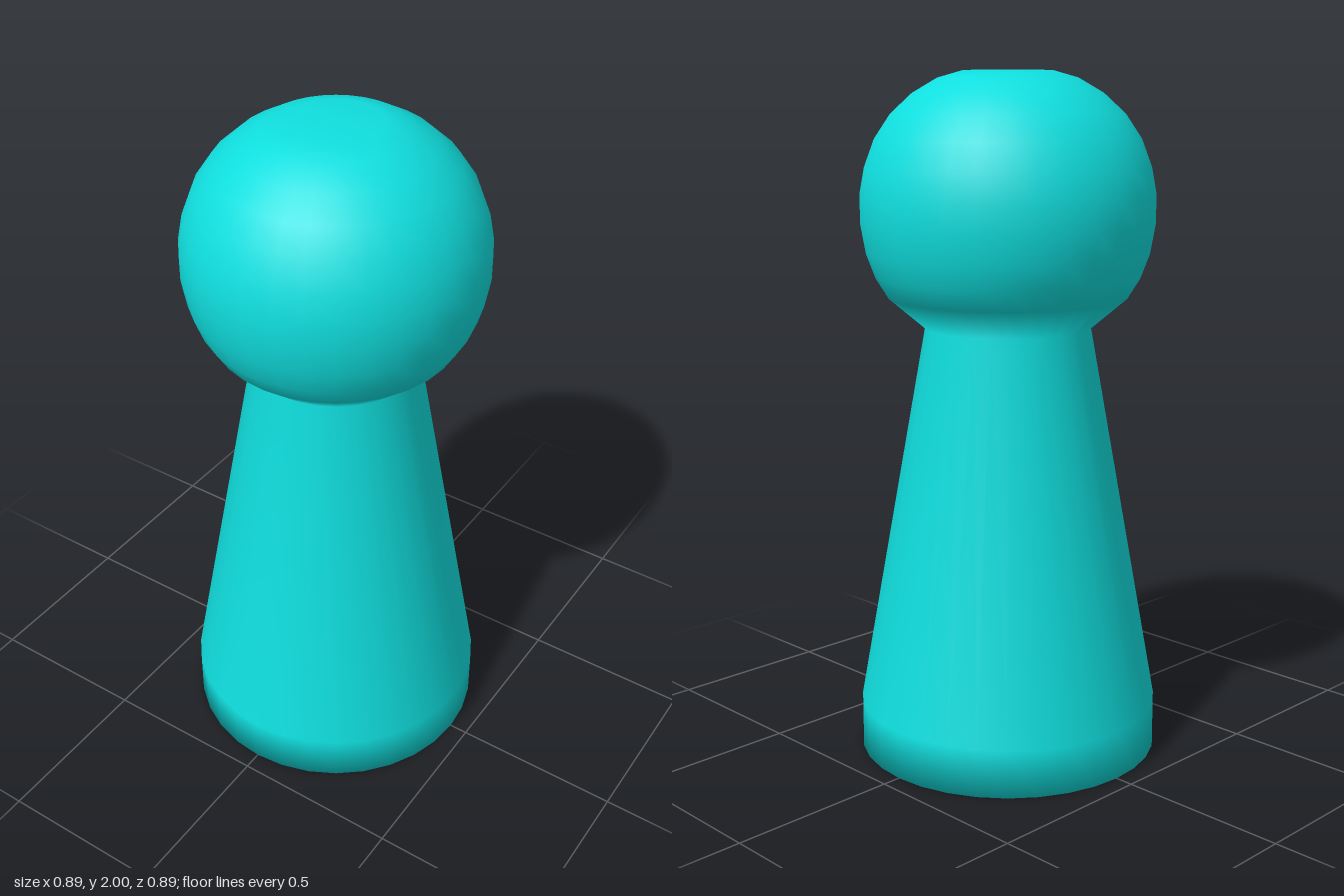
import * as THREE from 'three';

export function createModel() {
  const group = new THREE.Group();
  group.name = 'pawn';

  const teal = new THREE.MeshStandardMaterial({ color: 0x10dede });
  teal.name = 'teal';

  // Base rim and tapering body up to the neck
  const body = [[0, 0], [0.445, 0], [0.445, 0.14], [0.242, 1.27]];

  // Rounded head with a small flat crown
  const head = [
    [0.348, 1.36], [0.385, 1.42], [0.411, 1.49], [0.426, 1.575], [0.426, 1.655],
    [0.412, 1.73], [0.382, 1.81], [0.335, 1.88], [0.272, 1.938], [0.2, 1.98], [0.13, 2], [0, 2],
  ];

  // One closed, smooth turned surface
  const profile = [...body, ...head].map(([r, y]) => new THREE.Vector2(r, y));
  const figure = new THREE.Mesh(new THREE.LatheGeometry(profile, 32), teal);
  figure.name = 'bodyAndHead';
  group.add(figure);

  return group;
}
